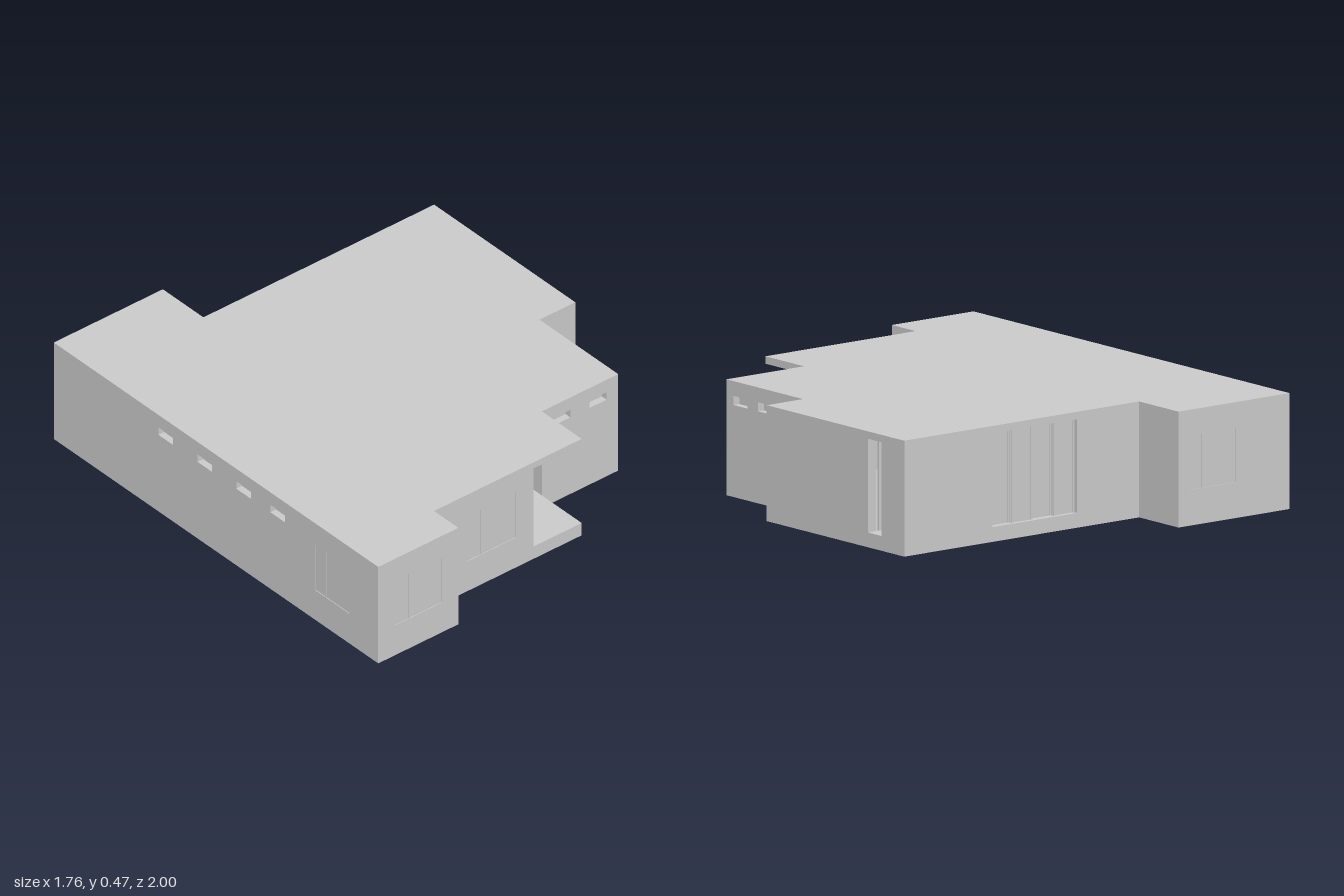
import * as THREE from 'three';

const H = 0.47, FLOOR = 0.06, CEIL = 0.44, T = 0.045;
const mat = new THREE.MeshStandardMaterial({ color: 0xcccccc, flatShading: true });

function add(parent, name, geo, x = 0, y = 0, z = 0) {
  const m = new THREE.Mesh(geo, mat);
  m.name = name;
  m.position.set(x, y, z);
  parent.add(m);
  return m;
}
const box = (parent, name, w, h, d, x, y, z) =>
  add(parent, name, new THREE.BoxGeometry(w, h, d), x, y, z);

// Horizontal slab from a plan outline given as [x, z]
function slab(parent, name, plan, y0, y1) {
  const shape = new THREE.Shape(plan.map(([x, z]) => new THREE.Vector2(x, -z)));
  const geo = new THREE.ExtrudeGeometry(shape, { depth: y1 - y0, bevelEnabled: false });
  geo.rotateX(-Math.PI / 2);
  add(parent, name, geo, 0, y0, 0);
}

// Wall between two plan points; local x runs along it, local +z points outside
function wall(parent, a, b, openings) {
  const dx = b[0] - a[0], dz = b[1] - a[1], len = Math.hypot(dx, dz);
  const g = new THREE.Group();
  g.name = 'wallSection';
  g.position.set(a[0], 0, a[1]);
  g.rotation.y = Math.atan2(-dz, dx);
  const rect = (P, u0, v0, u1, v1) => new P([[u0, v0], [u1, v0], [u1, v1], [u0, v1]]
    .map(p => new THREE.Vector2(...p)));
  const shape = rect(THREE.Shape, 0, 0, len, H);
  for (const o of openings) shape.holes.push(rect(THREE.Path, o.u, o.v0, o.u + o.w, o.v1));
  const geo = new THREE.ExtrudeGeometry(shape, { depth: T, bevelEnabled: false });
  add(g, 'wall', geo, 0, 0, -T);
  for (const o of openings) o.fill(g, o);
  parent.add(g);
}

// Opening fillings
const pane = (name, recess) => (g, o) =>
  box(g, name, o.w, o.v1 - o.v0, 0.008, o.u + o.w / 2, (o.v0 + o.v1) / 2, -recess - 0.004);

function largeWindow(g, o) {
  pane('windowGlass', 0.003)(g, o);
  box(g, 'windowMullion', 0.006, o.v1 - o.v0, 0.008, o.u + o.w * 0.3, (o.v0 + o.v1) / 2, -0.005);
}

// Sliding panels on alternating tracks
function slidingDoor(g, o) {
  const n = 4, w = o.w / n, h = o.v1 - o.v0, y = (o.v0 + o.v1) / 2;
  for (let i = 0; i < n; i++) {
    const z = i % 2 ? -0.022 : -0.034, x = o.u + w * (i + 0.5);
    box(g, 'slidingPanel', w + 0.006, h, 0.006, x, y, z);
    for (const s of [-1, 1])
      box(g, 'slidingStile', 0.01, h, 0.012, x + s * (w / 2 - 0.005), y, z);
  }
}

// Door leaf swung inward, with raised panels and a handle
function leaf(g, x, width, o) {
  const h = o.v1 - o.v0 - 0.006, y = (o.v0 + o.v1) / 2, z = -T - width / 2;
  box(g, 'doorLeaf', 0.008, h, width, x, y, z);
  for (const s of [-1, 1])
    box(g, 'doorPanel', 0.012, h * 0.38, width * 0.65, x, y + s * h * 0.23, z);
  box(g, 'doorHandle', 0.022, 0.008, 0.008, x, y, z - width * 0.4);
}
function doubleDoor(g, o) {
  leaf(g, o.u + 0.007, o.w / 2, o);
  leaf(g, o.u + o.w - 0.007, o.w / 2, o);
}
function singleDoor(g, o) {
  leaf(g, o.u + 0.009, o.w, o);
}

// Opening descriptions, u measured from the wall's start
const small = u => ({ u, w: 0.09, v0: 0.373, v1: 0.41, fill: pane('clerestoryGlass', 0.03) });
const large = (u, w) => ({ u, w, v0: 0.145, v1: 0.365, fill: largeWindow });
const door = (u, w, fill) => ({ u, w, v0: FLOOR, v1: CEIL, fill });

export function createModel() {
  const house = new THREE.Group();
  house.name = 'house';

  // Outline counter-clockwise from above: start point and openings of each wall
  const walls = [
    [[-0.88, 1], [large(0.09, 0.24)]],
    [[-0.465, 1], []],
    [[-0.465, 0.85], [large(0.17, 0.255)]],
    [[0.05, 0.85], []],
    [[0.05, 0.5], [door(0.05, 0.15, doubleDoor)]],
    [[0.30, 0.5], []],
    [[0.30, 0.605], [small(0.057), small(0.245)]],
    [[0.695, 0.605], [small(0.045), small(0.2), small(0.365)]],
    [[0.695, 0.12], []],
    [[0.88, 0.12], [door(0.64, 0.085, singleDoor)]],
    [[0.88, -0.75], [door(0.45, 0.43, slidingDoor)]],
    [[-0.315, -0.75], []],
    [[-0.315, -1], [large(0.05, 0.24)]],
    [[-0.88, -1], [small(0.645), small(0.885), small(1.125), small(1.335), large(1.61, 0.21)]],
  ];
  const pts = walls.map(w => w[0]);
  walls.forEach(([a, openings], i) => wall(house, a, pts[(i + 1) % pts.length], openings));

  // Floor and roof also cover the corner porch
  const plan = [...pts.slice(0, 3), [0.30, 0.85], ...pts.slice(6)];
  slab(house, 'floorSlab', plan, 0, FLOOR);
  slab(house, 'roofSlab', plan, CEIL, H);
  return house;
}
